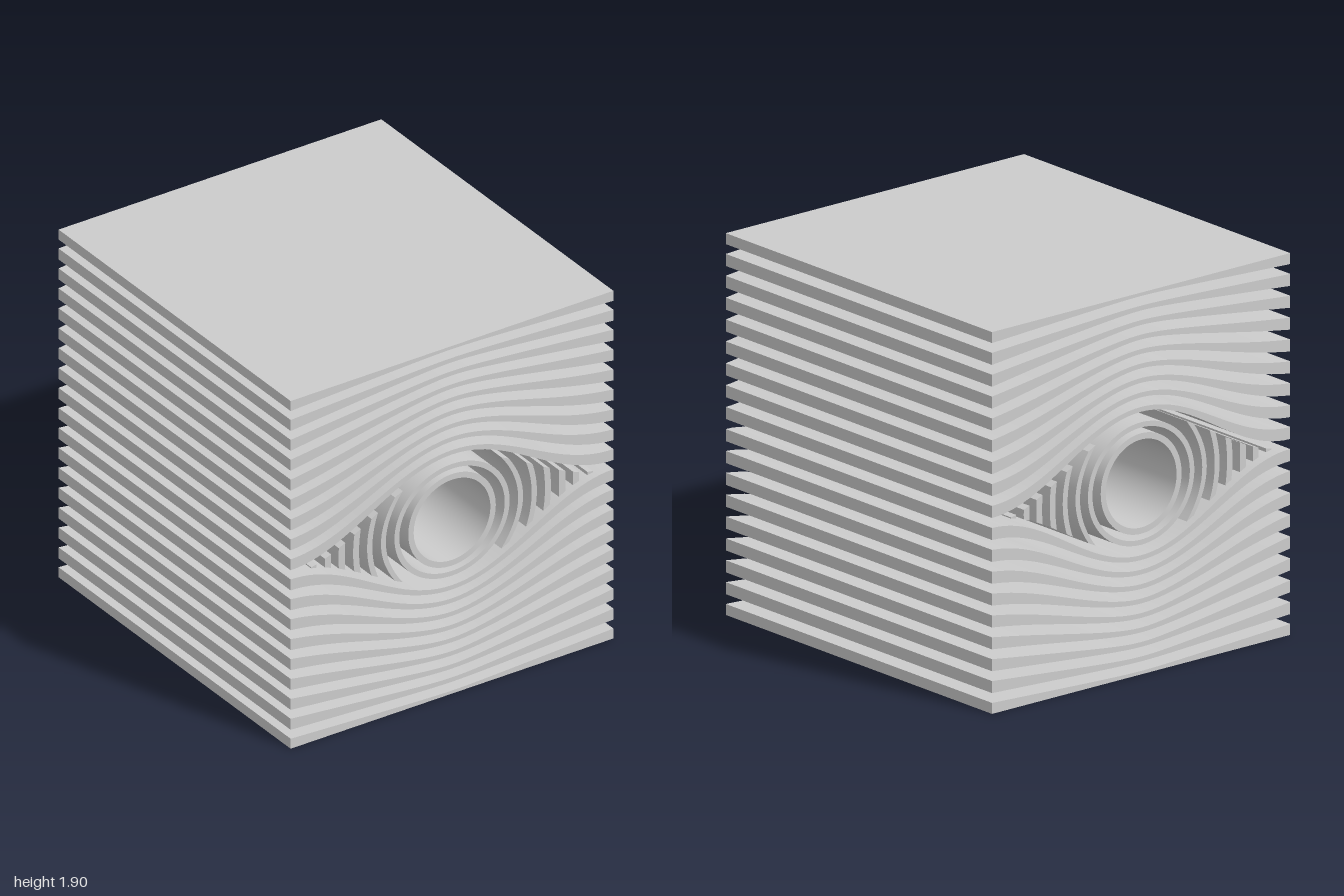
import * as THREE from 'three';
import { toCreasedNormals } from 'three/addons/utils/BufferGeometryUtils.js';

const HALF_W = 0.922, MID_Y = 0.95, Z_BACK = -1, Z_FRONT = 0.95;
const BANDS = 9;
const material = new THREE.MeshStandardMaterial({ color: 0xcccccc });

// Every part is a profile in the xy plane pushed through the full depth
function extrude(shape, name) {
  const geo = new THREE.ExtrudeGeometry(shape, {
    depth: Z_FRONT - Z_BACK, bevelEnabled: false, curveSegments: 48,
  });
  geo.translate(0, MID_Y, Z_BACK);
  const mesh = new THREE.Mesh(toCreasedNormals(geo, 0.5), material);
  mesh.name = name;
  return mesh;
}

// Bulge weight: 1 at the middle, 0 at the sides; bell near the eye, tent further out
function bulge(x, j) {
  const t = Math.min(Math.abs(x) / HALF_W, 1);
  const bell = (1 + Math.cos(Math.PI * t)) / 2;
  const a = 0.15, tent = (Math.hypot(1, a) - Math.hypot(t, a)) / (Math.hypot(1, a) - a);
  const k = Math.min(j / 6, 1);
  return bell * (1 - k) + tent * k;
}

// Distance of a band's inner and outer edge from the middle height
const inner = (x, j) => {
  const side = 0.025 + 0.1088 * j, mid = 0.357 + 0.072 * j;
  return side + (mid - side) * bulge(x, j);
};
const outer = (x, j) => {
  if (j === BANDS - 1) return 0.95;
  const side = 0.085 + 0.1088 * j, mid = 0.381 + 0.072 * j;
  return side + (mid - side) * bulge(x, j);
};

function bandShape(j, sign) {
  const n = 48, low = [], high = [];
  for (let i = 0; i <= n; i++) {
    const x = -HALF_W + (2 * HALF_W * i) / n;
    low.push(new THREE.Vector2(x, sign * inner(x, j)));
    high.push(new THREE.Vector2(x, sign * outer(x, j)));
  }
  return new THREE.Shape([...low, ...high.reverse()]);
}

function ringShape(rx, ry, holeX, holeY) {
  const shape = new THREE.Shape();
  shape.absellipse(0, 0, rx, ry, 0, Math.PI * 2, false);
  const hole = new THREE.Path();
  hole.absellipse(0, 0, holeX, holeY, 0, Math.PI * 2, true);
  shape.holes.push(hole);
  return shape;
}

// Bowed edge x = x0 - c*y^2, cut where it meets the eyelid outline
function bowedEdge(x0, c, side) {
  const lid = (x) => Math.max(inner(x, 0) - 0.037, 0.003);
  let lo = 0, hi = 0.35;
  for (let i = 0; i < 30; i++) {
    const y = (lo + hi) / 2;
    if (y < lid(x0 - c * y * y)) lo = y; else hi = y;
  }
  const pts = [];
  for (let i = 0; i <= 16; i++) {
    const y = lo * (i / 8 - 1);
    pts.push(new THREE.Vector2(side * (x0 - c * y * y), y));
  }
  return pts;
}

export function createModel() {
  const group = new THREE.Group();
  group.name = 'slattedCube';

  // Curved slats above and below the eye
  for (let j = 0; j < BANDS; j++) {
    group.add(extrude(bandShape(j, 1), `upperSlat${j + 1}`));
    group.add(extrude(bandShape(j, -1), `lowerSlat${j + 1}`));
  }

  // Concentric tubes in the middle
  group.add(extrude(ringShape(0.25, 0.25, 0.219, 0.219), 'innerTube'));
  group.add(extrude(ringShape(0.329, 0.305, 0.301, 0.279), 'outerTube'));

  // Shrinking arcs filling the corners of the eye: [inner x, thickness, bow]
  const arcs = [
    [0.378, 0.028, 1.55], [0.455, 0.03, 1.05], [0.531, 0.034, 0.7],
    [0.612, 0.036, 0.4], [0.691, 0.035, 0.2], [0.773, 0.032, 0],
  ];
  for (const [side, label] of [[1, 'left'], [-1, 'right']]) {
    arcs.forEach(([x, w, c], i) => {
      const pts = [...bowedEdge(x, c, side), ...bowedEdge(x + w, c, side).reverse()];
      group.add(extrude(new THREE.Shape(pts), `${label}Arc${i + 1}`));
    });
  }
  return group;
}
